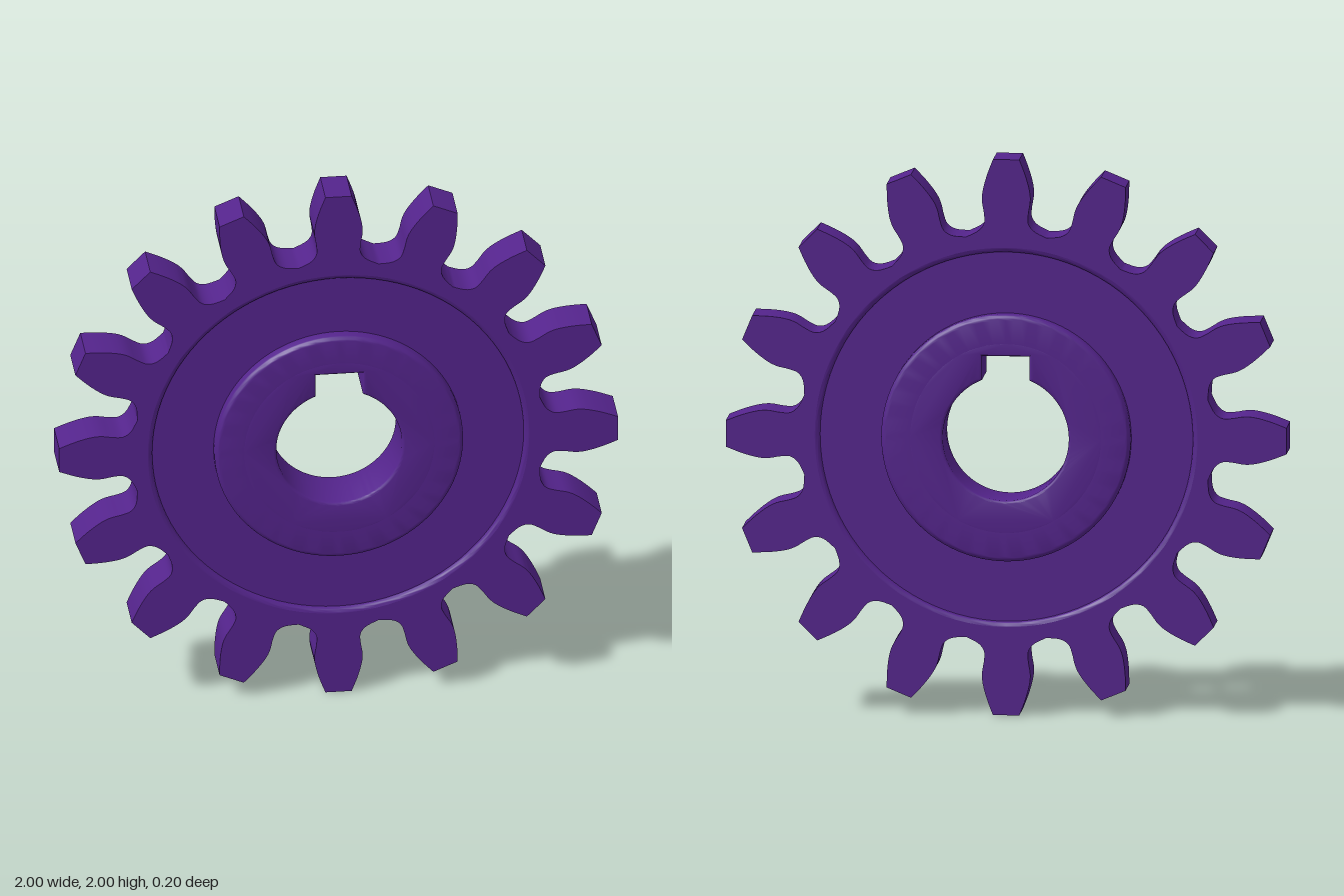
import * as THREE from 'three';
import { toCreasedNormals } from 'three/addons/utils/BufferGeometryUtils.js';

const TEETH = 16;
const RIM_Z = 0.077, HUB_Z = 0.102, WEB_Z = 0.056;
const RIM_IN = 0.683, HUB_R = 0.445, CORE_R = 0.35;
const BORE = 0.225, KEY_W = 0.085, KEY_TOP = 0.295, BEVEL = 0.01;

// One flank of a tooth, (half width, radius), from the tip to the root
const flank = new THREE.SplineCurve([
  [0.047, 1.0], [0.068, 0.945], [0.083, 0.89], [0.086, 0.85], [0.079, 0.805],
  [0.079, 0.77], [0.1, 0.742], [0.143, 0.72],
].map(([x, y]) => new THREE.Vector2(x, y))).getPoints(24);

function toothedOutline() {
  const right = flank.slice(0, -1);
  const tooth = [...flank.map((p) => new THREE.Vector2(-p.x, p.y)).reverse(), ...right];
  const pts = [];
  for (let i = 0; i < TEETH; i++) {
    const a = -i * 2 * Math.PI / TEETH; // clockwise
    for (const p of tooth) pts.push(p.clone().rotateAround(new THREE.Vector2(), a));
  }
  return new THREE.Shape(pts.reverse());
}

function circlePath(r) {
  return new THREE.Path().absarc(0, 0, r, 0, Math.PI * 2, true);
}

// Round bore with a square keyway at the top
function borePath() {
  const a = Math.acos(KEY_W / BORE);
  const path = new THREE.Path();
  path.moveTo(-KEY_W, KEY_TOP);
  path.lineTo(KEY_W, KEY_TOP);
  path.absarc(0, 0, BORE, a, -Math.PI - a, true);
  path.closePath();
  return path;
}

// Quarter-round edge points, (radius, height)
function fillet(cx, cy, r, from, to, n = 6) {
  return Array.from({ length: n + 1 }, (_, i) => {
    const t = from + (to - from) * i / n;
    return new THREE.Vector2(cx + r * Math.cos(t), cy + r * Math.sin(t));
  });
}

export function createModel() {
  const group = new THREE.Group();
  const material = new THREE.MeshStandardMaterial({ color: 0x54248c });
  const add = (name, geometry) => {
    const mesh = new THREE.Mesh(toCreasedNormals(geometry, 0.6), material);
    mesh.name = name;
    mesh.position.y = 1;
    group.add(mesh);
  };

  // Toothed rim
  const rim = toothedOutline();
  rim.holes.push(circlePath(RIM_IN));
  add('toothedRim', new THREE.ExtrudeGeometry(rim, {
    depth: 2 * RIM_Z, bevelEnabled: false, curveSegments: 48,
  }).translate(0, 0, -RIM_Z));

  // Recessed web and raised hub with rounded edges, the same on both faces
  const r = 0.02;
  const upper = [
    new THREE.Vector2(RIM_IN, RIM_Z),
    ...fillet(RIM_IN, RIM_Z - 0.018, 0.018, Math.PI / 2, Math.PI),
    new THREE.Vector2(RIM_IN - 0.018, WEB_Z),
    new THREE.Vector2(HUB_R, WEB_Z),
    ...fillet(HUB_R - r, HUB_Z - r, r, 0, Math.PI / 2),
    new THREE.Vector2(CORE_R - BEVEL, HUB_Z),
  ];
  const lower = upper.map((p) => new THREE.Vector2(p.x, -p.y)).reverse();
  add('webAndHub', new THREE.LatheGeometry([...lower, ...upper], 96).rotateX(Math.PI / 2));

  // Centre of the hub with the keyed bore
  const core = new THREE.Shape().absarc(0, 0, CORE_R, 0, Math.PI * 2, false);
  core.holes.push(borePath());
  add('keyedBore', new THREE.ExtrudeGeometry(core, {
    depth: 2 * (HUB_Z - BEVEL), curveSegments: 48, bevelSegments: 3,
    bevelThickness: BEVEL, bevelSize: BEVEL, bevelOffset: -BEVEL,
  }).translate(0, 0, BEVEL - HUB_Z));

  return group;
}
